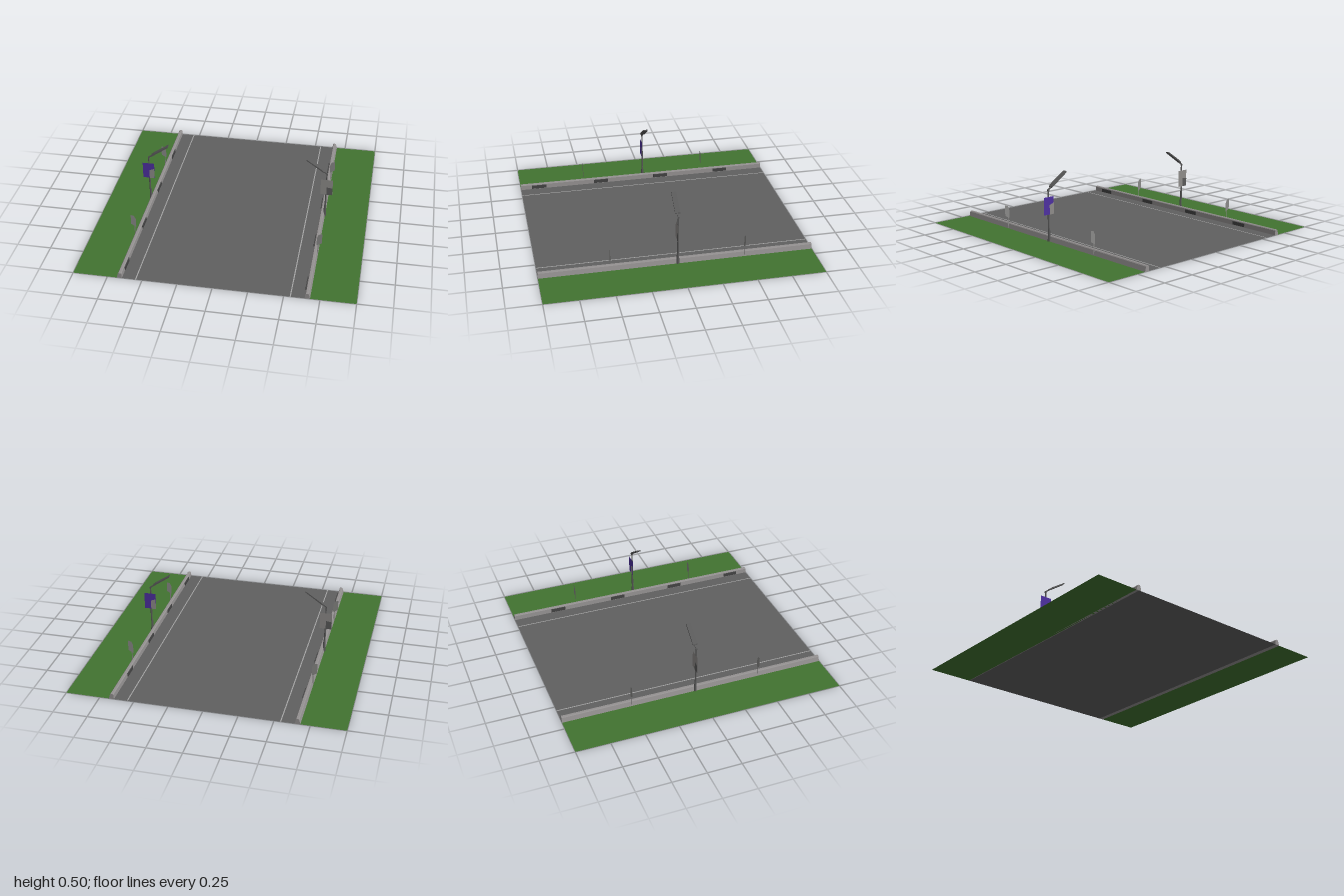
import * as THREE from 'three';

const mat = (name, color, double = false) => {
  const m = new THREE.MeshStandardMaterial({ color, side: double ? THREE.DoubleSide : THREE.FrontSide });
  m.name = name;
  return m;
};

export function createModel() {
  const asphalt = mat('asphalt', 0x606060, true);
  const grass = mat('grass', 0x427330, true);
  const concrete = mat('concrete', 0x949191);
  const paint = mat('linePaint', 0xa5a5a5);
  const metal = mat('darkMetal', 0x5a5a5a);
  const purple = mat('signPurple', 0x4d2fa0);
  const signGrey = mat('signGrey', 0x8e8c8a);
  const markerGrey = mat('markerGrey', 0x8a8a88, true);
  const drain = mat('drain', 0x444444);

  const root = new THREE.Group();
  root.name = 'roadSection';
  const add = (parent, name, geo, material, x = 0, y = 0, z = 0) => {
    const mesh = new THREE.Mesh(geo, material);
    mesh.name = name;
    mesh.position.set(x, y, z);
    parent.add(mesh);
    return mesh;
  };
  const flat = (w, d) => new THREE.PlaneGeometry(w, d).rotateX(-Math.PI / 2);
  const shape = (pts) => new THREE.Shape(pts.map((p) => new THREE.Vector2(...p)));

  add(root, 'roadSurface', flat(1.322, 2), asphalt);

  // Strip, barrier and fittings on the -x side, facing +z
  function roadside() {
    const side = new THREE.Group();
    side.name = 'roadside';
    add(side, 'grassStrip', flat(0.333, 2), grass, -0.8335);
    add(side, 'edgeLine', flat(0.008, 2), paint, -0.546, 0.002);

    // Concrete barrier
    const profile = shape([[-0.682, 0], [-0.645, 0], [-0.648, 0.034], [-0.653, 0.04], [-0.668, 0.04], [-0.673, 0.034]]);
    const barrier = new THREE.ExtrudeGeometry(profile, { depth: 2, bevelEnabled: false });
    add(side, 'barrier', barrier, concrete, 0, 0, -1);

    // Lamp post with a wider foot and an angled arm
    add(side, 'postFoot', new THREE.CylinderGeometry(0.007, 0.012, 0.1, 6), metal, -0.678, 0.05);
    add(side, 'post', new THREE.CylinderGeometry(0.005, 0.007, 0.29, 6), metal, -0.681, 0.235);
    const arm = shape([[-0.686, 0.37], [-0.676, 0.37], [-0.676, 0.378], [-0.634, 0.411], [-0.632, 0.419], [-0.686, 0.382]]);
    const armGeo = new THREE.ExtrudeGeometry(arm, { depth: 0.012, bevelEnabled: false });
    add(side, 'lampArm', armGeo, metal, 0, 0, -0.006);
    const lamp = shape([[-0.66, 0.394], [-0.635, 0.411], [-0.525, 0.488], [-0.525, 0.498], [-0.637, 0.423], [-0.66, 0.403]]);
    const lampGeo = new THREE.ExtrudeGeometry(lamp, { depth: 0.036, bevelEnabled: false });
    add(side, 'lampHead', lampGeo, metal, 0, 0, -0.018);

    // Thin road sign, coloured in front and plain behind
    const sign = new THREE.PlaneGeometry(0.09, 0.13);
    add(side, 'signFront', sign, purple, -0.684, 0.265, 0.009);
    add(side, 'signBack', sign, signGrey, -0.684, 0.265, -0.009).rotation.y = Math.PI;
    const patch = new THREE.ShapeGeometry(shape([[0, 0], [0.038, 0], [0.038, 0.085], [0, 0.07]]));
    add(side, 'signFrontPatch', patch, signGrey, -0.678, 0.2, 0.011);
    const backPatch = new THREE.ShapeGeometry(shape([[0, 0], [0.043, 0], [0.043, 0.06], [0, 0.066]]));
    add(side, 'signBackPatch', backPatch, metal, -0.685, 0.2, -0.011).rotation.y = Math.PI;

    // Flat roadside markers on slim stems
    const marker = new THREE.ShapeGeometry(shape([
      [-0.682, 0], [-0.675, 0], [-0.675, 0.08], [-0.668, 0.08], [-0.668, 0.145],
      [-0.68, 0.173], [-0.706, 0.18], [-0.706, 0.1], [-0.682, 0.085],
    ]));
    for (const z of [-0.49, 0.49]) add(side, 'roadsideMarker', marker, markerGrey, 0, 0, z);
    return side;
  }
  const leftSide = roadside();
  leftSide.rotation.y = Math.PI;
  root.add(roadside(), leftSide);

  // Dark drain openings along the inner faces of both barriers
  for (const s of [-1, 1]) {
    for (const z of [0.855, 0.35, -0.143, -0.645]) {
      add(root, 'drainOpening', new THREE.BoxGeometry(0.006, 0.026, 0.115), drain, s * 0.644, 0.017, z);
    }
  }
  return root;
}
